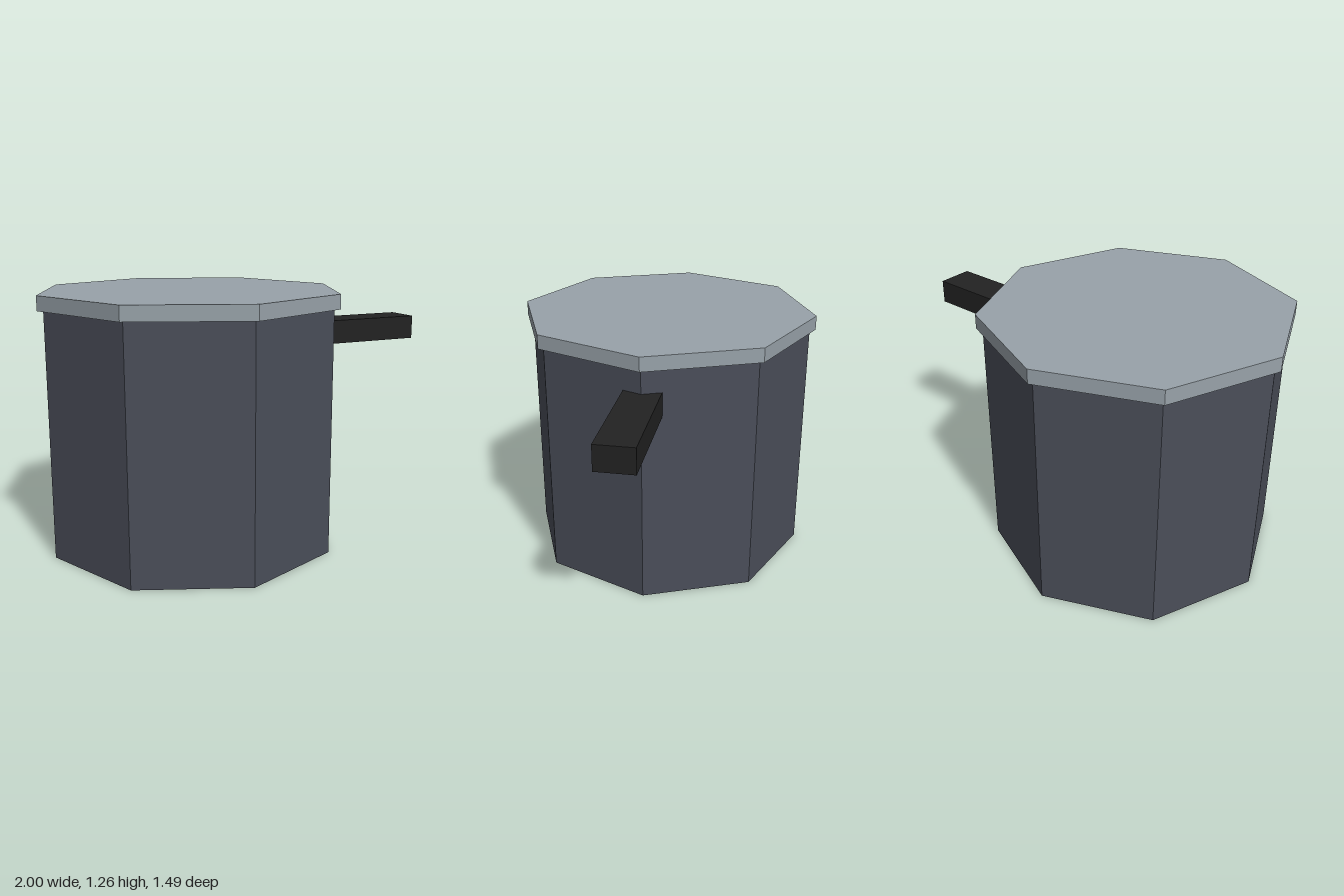
import * as THREE from 'three';

const material = (name, color) => {
  const m = new THREE.MeshStandardMaterial({ color, flatShading: true });
  m.name = name;
  return m;
};

export function createModel() {
  const group = new THREE.Group();
  group.name = 'saucepan';
  const darkSteel = material('dark steel', 0x4a4e59);
  const paleSteel = material('pale steel', 0x98a2a9);
  const black = material('black', 0x222222);
  const potX = -0.255;

  const add = (name, geometry, mat, x, y) => {
    const mesh = new THREE.Mesh(geometry, mat);
    mesh.name = name;
    mesh.position.set(x, y, 0);
    group.add(mesh);
  };

  // Eight-sided pot body and its slightly wider lid
  add('potBody', new THREE.CylinderGeometry(0.716, 0.716, 1.19, 8), darkSteel, potX, 0.595);
  add('lid', new THREE.CylinderGeometry(0.745, 0.745, 0.07, 8), paleSteel, potX, 1.225);

  // Straight handle, sunk a little into the pot wall
  add('handle', new THREE.BoxGeometry(0.6, 0.12, 0.18), black, 0.7, 1.015);

  return group;
}
